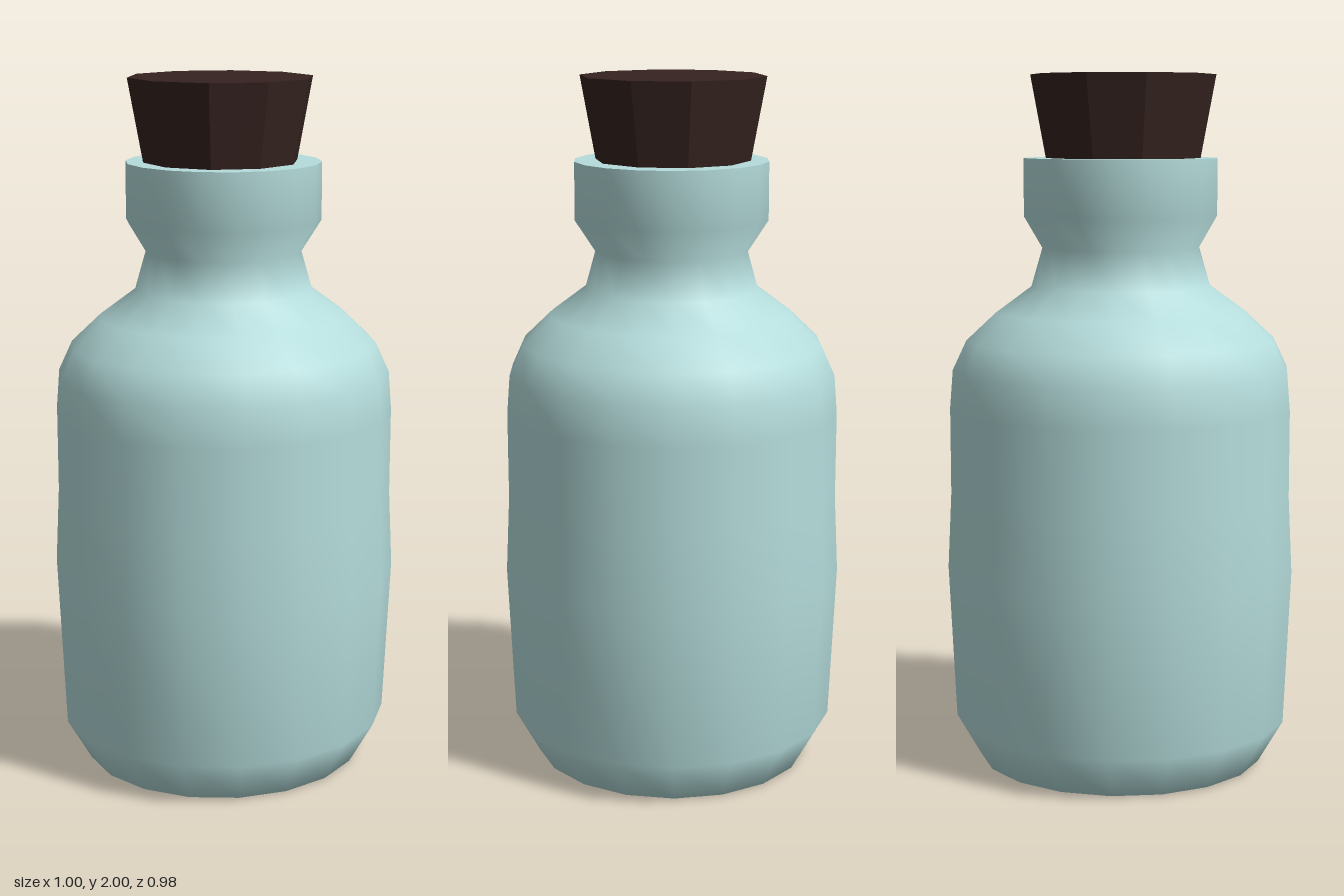
import * as THREE from 'three';

const SIDES = 18;

// Smooth lathe whose body is a little narrower front to back than side to side
function turned(name, profile, material) {
  const geo = new THREE.LatheGeometry(profile.map(([r, y]) => new THREE.Vector2(r, y)), SIDES);
  const pos = geo.attributes.position;
  for (let i = 0; i < pos.count; i++) {
    const squash = pos.getY(i) < 1.55 ? 0.965 : 0.995;
    pos.setZ(i, pos.getZ(i) * squash);
  }
  const mesh = new THREE.Mesh(geo, material);
  mesh.name = name;
  return mesh;
}

export function createModel() {
  const model = new THREE.Group();
  model.name = 'corkedBottle';

  const glass = new THREE.MeshStandardMaterial({ color: 0xb4dcdb });
  const corkMaterial = new THREE.MeshStandardMaterial({ color: 0x35231f, flatShading: true });

  // Bottle: base, bulging body, shoulder, pinched neck and collar
  model.add(turned('bottle', [
    [0, 0], [0.34, 0], [0.416, 0.005], [0.488, 0.13], [0.508, 0.58],
    [0.497, 0.8], [0.497, 1.05], [0.488, 1.16], [0.448, 1.245],
    [0.362, 1.325], [0.259, 1.4], [0.227, 1.51], [0.279, 1.6], [0.279, 1.765],
  ], glass));

  // Flat top of the collar, kept separate for a sharp edge
  model.add(turned('rim', [[0.279, 1.765], [0, 1.765]], glass));

  // Ten-sided tapered cork, sunk a little into the collar
  const cork = new THREE.Mesh(
    new THREE.CylinderGeometry(0.265, 0.206, 0.32, 10, 1, false, Math.PI / 2),
    corkMaterial);
  cork.position.set(-0.006, 1.84, -0.005);
  cork.name = 'cork';
  model.add(cork);

  return model;
}
